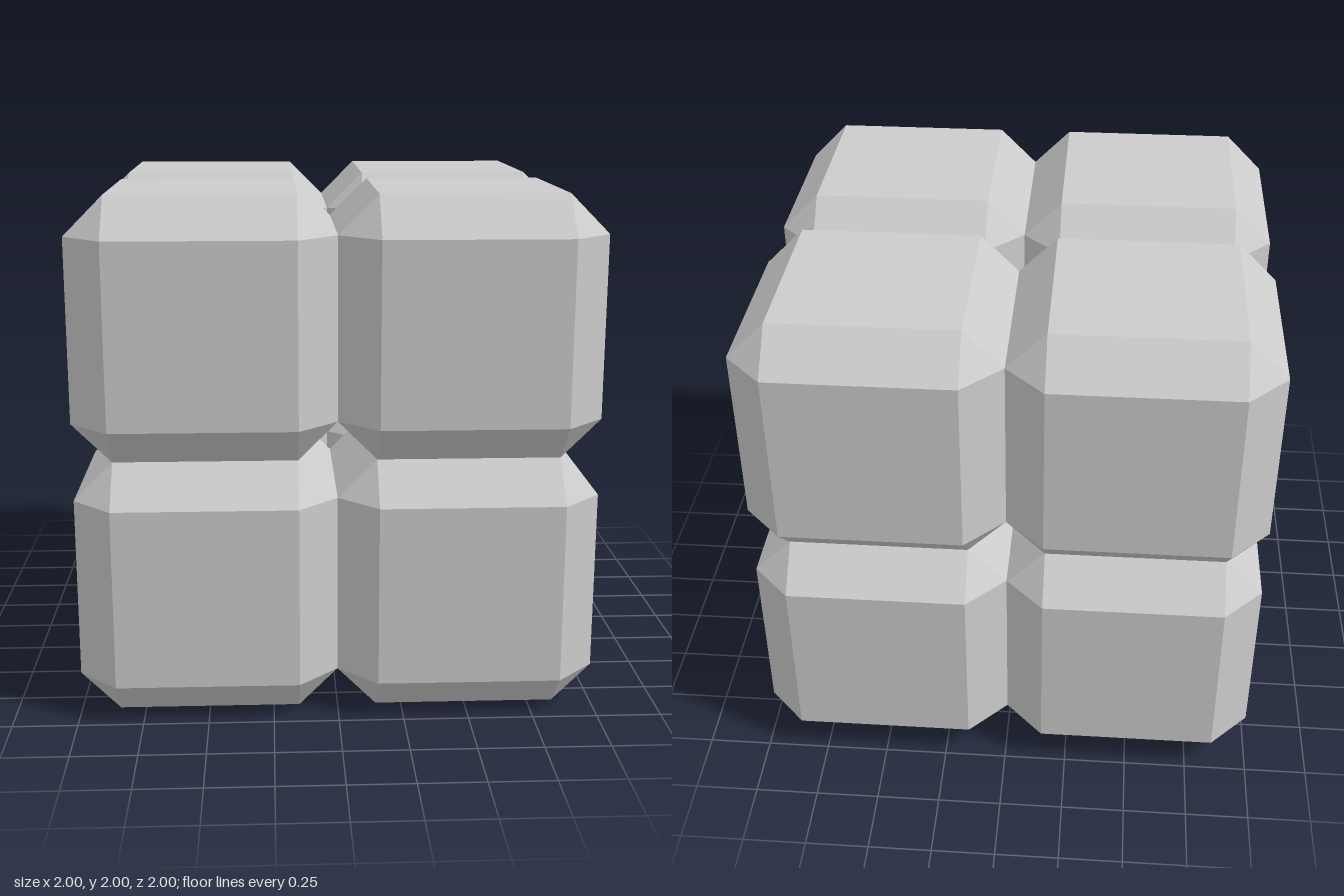
import * as THREE from 'three';
import { ConvexGeometry } from 'three/addons/geometries/ConvexGeometry.js';

// Cube with bevelled edges and triangular corners: each corner is split into
// three points, one on each adjoining face.
function chamferedCube(half, bevel) {
  const inner = half - bevel;
  const points = [];
  for (const x of [-1, 1]) for (const y of [-1, 1]) for (const z of [-1, 1]) {
    points.push(
      new THREE.Vector3(x * half, y * inner, z * inner),
      new THREE.Vector3(x * inner, y * half, z * inner),
      new THREE.Vector3(x * inner, y * inner, z * half)
    );
  }
  return new ConvexGeometry(points);
}

export function createModel() {
  const model = new THREE.Group();
  model.name = 'blockCluster';
  const material = new THREE.MeshStandardMaterial({ color: 0xcccccc, flatShading: true });
  const geometry = chamferedCube(0.5, 0.15);

  // Eight touching blocks in a 2 x 2 x 2 stack
  for (const [level, y] of [['lower', 0.5], ['upper', 1.5]]) {
    for (const [depth, z] of [['Front', 0.5], ['Back', -0.5]]) {
      for (const [side, x] of [['Left', 0.5], ['Right', -0.5]]) {
        const block = new THREE.Mesh(geometry, material);
        block.name = `${level}${depth}${side}Block`;
        block.position.set(x, y, z);
        model.add(block);
      }
    }
  }
  return model;
}
